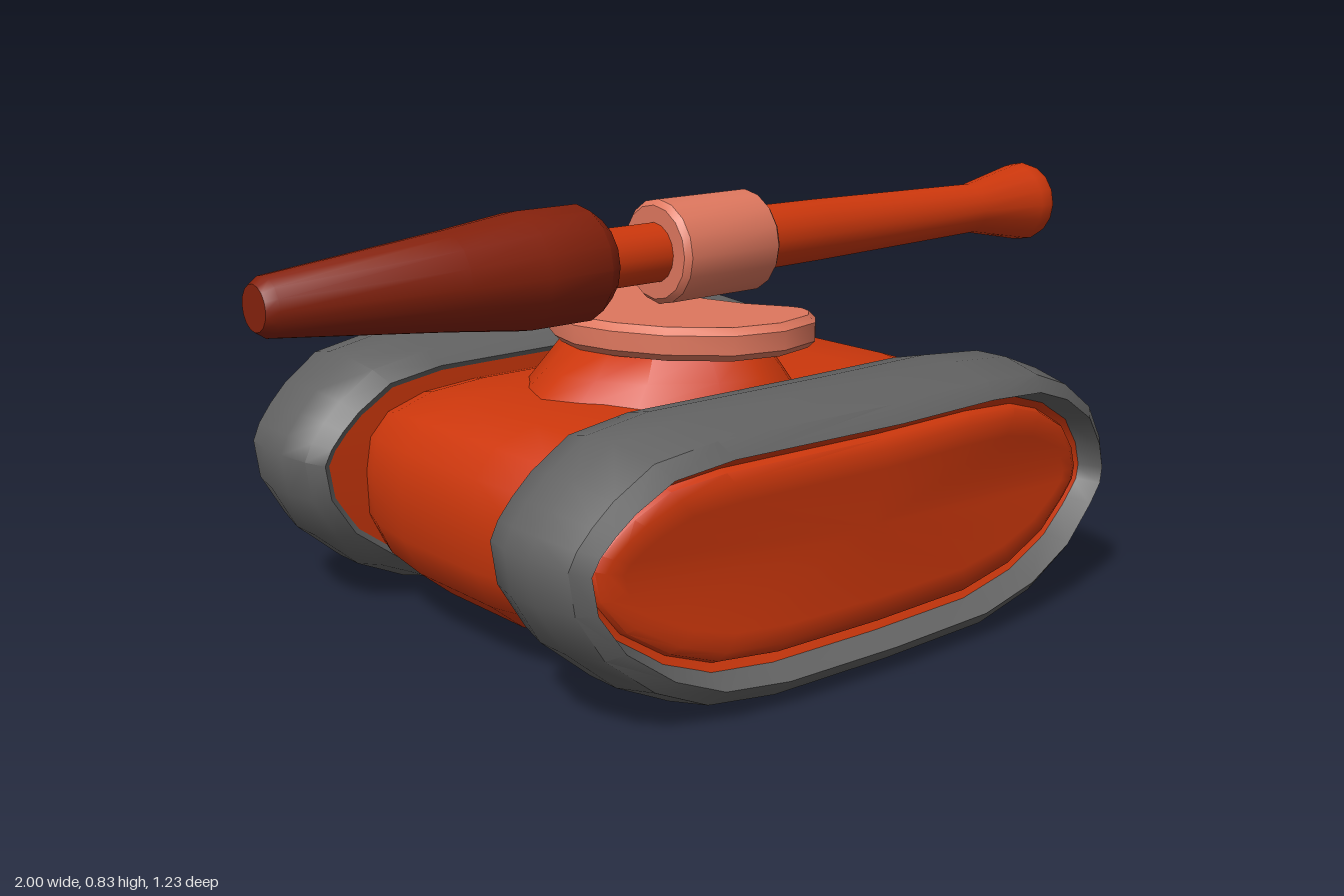
import * as THREE from 'three';
import { toCreasedNormals } from 'three/addons/utils/BufferGeometryUtils.js';

const mat = (name, color) => {
  const m = new THREE.MeshStandardMaterial({ color });
  m.name = name;
  return m;
};

// side outline of a track, counter-clockwise
const CX = -0.055, CY = 0.263, HX = 0.712, HY = 0.263;
const TRACK = [
  [-0.72, 0.41], [-0.75, 0.372], [-0.767, 0.335], [-0.755, 0.25], [-0.70, 0.155], [-0.60, 0.07],
  [-0.49, 0.018], [-0.34, 0], [-0.06, 0], [0.22, 0], [0.385, 0.03], [0.52, 0.09], [0.61, 0.17],
  [0.65, 0.215], [0.657, 0.255], [0.64, 0.32], [0.59, 0.40], [0.49, 0.47], [0.385, 0.51],
  [0.22, 0.526], [-0.06, 0.526], [-0.47, 0.526], [-0.60, 0.505], [-0.68, 0.45],
];

// boxier side outline of the hull, counter-clockwise
const HULL = [
  [-0.60, 0.425], [-0.645, 0.375], [-0.658, 0.30], [-0.655, 0.20], [-0.62, 0.125], [-0.55, 0.068],
  [-0.45, 0.035], [-0.06, 0.03], [0.30, 0.035], [0.42, 0.068], [0.50, 0.125], [0.537, 0.20],
  [0.542, 0.30], [0.53, 0.375], [0.49, 0.425], [0.40, 0.455], [0.25, 0.465], [-0.06, 0.465],
  [-0.38, 0.465], [-0.51, 0.455],
];

// crescent outline of the turret plate, counter-clockwise (x, depth)
const HALF = [
  [0.03, 0.10], [0.08, 0.185], [0.087, 0.215], [0.075, 0.25], [0.04, 0.285], [-0.06, 0.307],
  [-0.165, 0.28], [-0.26, 0.19], [-0.31, 0.09],
];
const PLATE = [[0, 0], ...HALF, [-0.33, 0], ...HALF.map(([x, y]) => [x, -y]).reverse()];

// skins a list of equal-length rings, optionally closing the first and last
function loft(rings, { capStart = false, capEnd = false, flip = false, crease = 0.65 } = {}) {
  const n = rings[0].length, pos = rings.flat(2), idx = [];
  const tri = (a, b, c) => (flip ? idx.push(a, c, b) : idx.push(a, b, c));
  for (let j = 0; j < rings.length - 1; j++) {
    for (let i = 0; i < n; i++) {
      const k = (i + 1) % n, a = j * n + i, b = j * n + k;
      tri(a, b, b + n);
      tri(a, b + n, a + n);
    }
  }
  const cap = (j, reverse) => {
    const centre = pos.length / 3;
    for (let c = 0; c < 3; c++) pos.push(rings[j].reduce((s, p) => s + p[c], 0) / n);
    for (let i = 0; i < n; i++) {
      const a = j * n + i, b = j * n + ((i + 1) % n);
      reverse ? tri(b, a, centre) : tri(a, b, centre);
    }
  };
  if (capStart) cap(0, true);
  if (capEnd) cap(rings.length - 1, false);
  const g = new THREE.BufferGeometry();
  g.setAttribute('position', new THREE.Float32BufferAttribute(pos, 3));
  g.setIndex(idx);
  return toCreasedNormals(g, crease);
}

// track outline inset by d at depth z; the faces curve back towards the ends
function trackRing(d, z, side) {
  return TRACK.map(([x, y]) => {
    const u = (x - CX) / HX;
    const bow = u * u * (0.012 + 0.045 * (z - 0.29) / 0.32);
    return [CX + (x - CX) * (1 - d / HX), CY + (y - CY) * (1 - d / HY), side * (z - bow)];
  });
}

// turned part lying along x, from [x, radius] pairs
function turned(profile, segments = 16) {
  const g = new THREE.LatheGeometry(profile.map(([x, r]) => new THREE.Vector2(r, x)), segments);
  g.rotateZ(-Math.PI / 2);
  return toCreasedNormals(g, 0.6);
}

export function createModel() {
  const red = mat('orange red', 0xcc370c);
  const dark = mat('dark red', 0x84210c);
  const pink = mat('salmon', 0xde775e);
  const grey = mat('track grey', 0x626262);

  const model = new THREE.Group();
  model.name = 'tank';
  const add = (name, geometry, material, parent = model) => {
    const m = new THREE.Mesh(geometry, material);
    m.name = name;
    parent.add(m);
    return m;
  };

  // hull, slightly smaller towards both sides: [z, length scale, height scale]
  const hullSections = [[-0.31, 0.94, 0.88], [-0.25, 0.97, 0.95], [-0.12, 1, 1], [0.12, 1, 1], [0.25, 0.97, 0.95], [0.31, 0.94, 0.88]];
  add('hull', loft(hullSections.map(([z, sx, sy]) => HULL.map(([x, y]) => [
    -0.058 + (x + 0.058) * sx, 0.248 + (y - 0.248) * sy, z,
  ])), { capStart: true, capEnd: true, crease: 0.8 }), red);

  // tracks with red panels on their inner and outer sides
  for (const side of [1, -1]) {
    const unit = new THREE.Group();
    unit.name = side > 0 ? 'frontTrackUnit' : 'backTrackUnit';
    model.add(unit);
    const flip = side < 0;
    const rings = (list) => list.map(([d, z]) => trackRing(d, z, side));
    add('track', loft(rings([
      [0.08, 0.325], [0.045, 0.302], [0.017, 0.335], [0, 0.41], [0, 0.49], [0.02, 0.587], [0.05, 0.615], [0.072, 0.545],
    ]), { flip }), grey, unit);
    add('innerPanel', loft(rings([[0.04, 0.31], [0.08, 0.55]]), { flip, capStart: true }), red, unit);
    add('outerPanel', loft(rings([
      [0.066, 0.56], [0.082, 0.55], [0.088, 0.565], [0.105, 0.576], [0.14, 0.58],
    ]), { flip, capEnd: true }), red, unit);
  }

  // turret neck flaring down onto the hull: [y, rear scale, nose scale, width scale]
  const neckSections = [[0.41, 1.65, 0.95, 1.02], [0.46, 1.45, 0.84, 0.93], [0.50, 1.18, 0.75, 0.86], [0.55, 0.9, 0.65, 0.74]];
  const neck = loft(neckSections.map(([y, rear, nose, width]) =>
    PLATE.map(([x, d]) => [-0.14 + (x + 0.14) * (x < -0.14 ? rear : nose), d * width, y])), { capEnd: true, crease: 0.9 });
  neck.rotateX(-Math.PI / 2);
  add('turretNeck', neck, red);

  // crescent turret plate
  const b = 0.014;
  const shape = new THREE.Shape(PLATE.map(([x, y]) => new THREE.Vector2(x, y)));
  const plate = new THREE.ExtrudeGeometry(shape, {
    depth: 0.065 - 2 * b, bevelEnabled: true, bevelSize: b, bevelThickness: b, bevelOffset: -b, bevelSegments: 1,
  });
  plate.rotateX(-Math.PI / 2);
  plate.translate(0, 0.545 + b, 0);
  add('turretPlate', toCreasedNormals(plate, 0.7), pink);

  // gun lying along x
  const gun = new THREE.Group();
  gun.name = 'gun';
  gun.position.set(0, 0.716, 0);
  model.add(gun);
  add('barrel', turned([
    [-0.3, 0.06], [-0.1, 0.06], [0.1, 0.068], [0.3, 0.066], [0.8, 0.056], [0.96, 0.087],
    [0.985, 0.09], [1, 0.085], [1, 0.062], [0.99, 0.058], [0.94, 0.057],
  ]), red, gun);
  add('bore', turned([[0.93, 0.058], [0.945, 0.058], [0.945, 0]]), grey, gun);
  add('collar', turned([
    [-0.13, 0.055], [-0.13, 0.094], [-0.118, 0.105], [0.11, 0.105], [0.122, 0.094], [0.122, 0.055],
  ]), pink, gun);
  add('rearCone', turned([
    [-1, 0], [-1, 0.042], [-0.98, 0.055], [-0.62, 0.094], [-0.46, 0.114],
    [-0.32, 0.114], [-0.285, 0.09], [-0.278, 0.07], [-0.278, 0],
  ]), dark, gun);

  return model;
}
